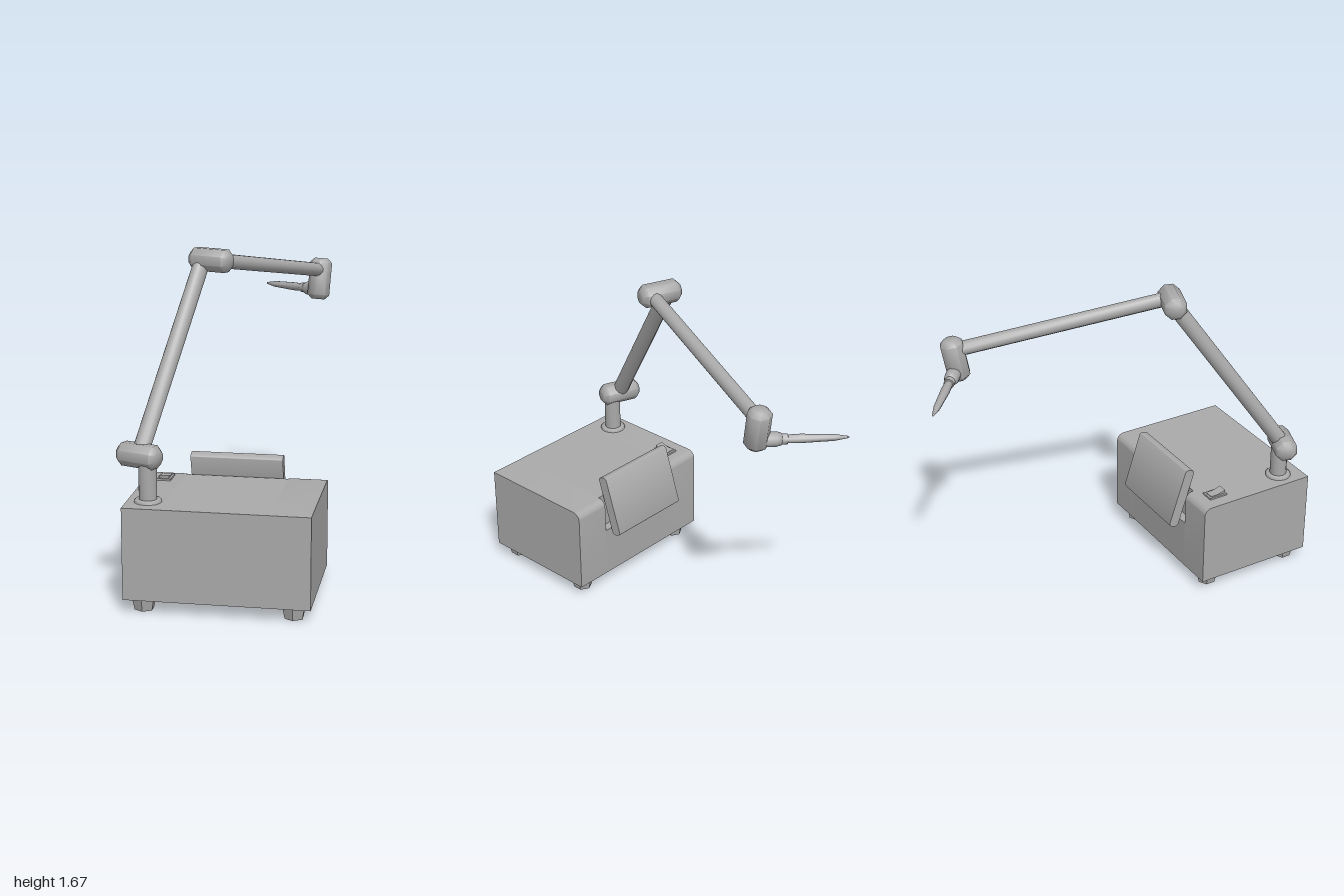
import * as THREE from 'three';
import { toCreasedNormals } from 'three/addons/utils/BufferGeometryUtils.js';

const V = (x, y, z) => new THREE.Vector3(x, y, z);
const UP = V(0, 1, 0);

export function createModel() {
  const root = new THREE.Group();
  const grey = new THREE.MeshStandardMaterial({ color: 0xaaaaaa });

  const add = (name, geometry) => {
    const mesh = new THREE.Mesh(toCreasedNormals(geometry, 1), grey);
    mesh.name = name;
    root.add(mesh);
    return mesh;
  };

  // Solid of revolution: profile of [radius, distance] starting at a point, along a direction
  const turned = (name, profile, sides, origin, direction) => {
    const points = profile.map(([r, d]) => new THREE.Vector2(r, d));
    const mesh = add(name, new THREE.LatheGeometry(points, sides));
    mesh.position.copy(origin);
    mesh.quaternion.setFromUnitVectors(UP, direction.clone().normalize());
    return mesh;
  };

  // Side outline in (z, y), extruded between two x positions
  const slab = (name, shape, x0, x1) => {
    const g = new THREE.ExtrudeGeometry(shape, { depth: x1 - x0, bevelEnabled: false, curveSegments: 6 });
    g.rotateY(-Math.PI / 2);
    g.translate(x1, 0, 0);
    return add(name, g);
  };

  // Housing: rounded rear top edge, with a pocket behind the screen
  const bottom = 0.066, top = 0.525, back = 0.337, r = 0.042;
  const full = new THREE.Shape();
  full.moveTo(back, bottom);
  full.lineTo(1, bottom);
  full.lineTo(1, top);
  full.lineTo(back + r, top);
  full.absarc(back + r, top - r, r, Math.PI / 2, Math.PI, false);
  full.closePath();
  const pocket = new THREE.Shape([
    [back, bottom], [1, bottom], [1, top], [0.385, top], [0.385, 0.336], [back, 0.336],
  ].map(([z, y]) => new THREE.Vector2(z, y)));
  slab('housingRight', full, -0.426, -0.237);
  slab('housingMiddle', pocket, -0.237, 0.286);
  slab('housingLeft', full, 0.286, 0.481);

  // Tapered hexagonal feet
  for (const x of [-0.337, 0.393]) {
    for (const z of [0.42, 0.922]) {
      const foot = add('foot', new THREE.CylinderGeometry(0.063, 0.049, 0.068, 6));
      foot.position.set(x, 0.034, z);
    }
  }

  // Tilted screen panel with rounded edges
  const w = 0.028, h = 0.168, c = 0.018;
  const panel = new THREE.Shape();
  panel.absarc(w - c, h - c, c, 0, Math.PI / 2);
  panel.absarc(-w + c, h - c, c, Math.PI / 2, Math.PI);
  panel.absarc(-w + c, -h + c, c, Math.PI, Math.PI * 1.5);
  panel.absarc(w - c, -h + c, c, Math.PI * 1.5, Math.PI * 2);
  panel.closePath();
  const screen = slab('screen', panel, -0.21, 0.26);
  screen.position.set(0, 0.478, 0.331);
  screen.rotation.x = 0.305;

  // Power switch: base plate and rocker
  const plate = add('switchPlate', new THREE.BoxGeometry(0.07, 0.009, 0.106));
  plate.position.set(-0.324, top + 0.0045, 0.466);
  const rocker = new THREE.Shape([
    [0.425, 0.53], [0.508, 0.53], [0.512, 0.552], [0.468, 0.539], [0.425, 0.538],
  ].map(([z, y]) => new THREE.Vector2(z, y)));
  slab('switchRocker', rocker, -0.349, -0.299);

  // Arm layout: lower, middle and wrist joints
  const axis = V(0.94, 0, 0.342);
  const joint1 = V(-0.366, 0.747, 0.857);
  const joint2 = V(-0.118, 1.609, 0.302);
  const joint3 = V(0.301, 1.364, -0.713);

  // Post and its flange
  const post = joint1.clone().addScaledVector(axis, 0.046);
  turned('postFlange', [[0, 0], [0.068, 0], [0.068, 0.008], [0.06, 0.015], [0, 0.015]], 16,
    V(post.x, top, post.z), UP);
  turned('post', [[0, 0], [0.045, 0], [0.045, 0.222], [0, 0.222]], 12, V(post.x, top, post.z), UP);

  // Chamfered joint barrel centred on a point
  const barrel = (name, centre, direction, length) => {
    const l = length / 2, b = 0.024, R = 0.061;
    turned(name, [[0, -l], [R - b, -l], [R, -l + b], [R, l - b], [R - b, l], [0, l]], 8, centre, direction);
  };
  const rod = (name, from, to, radius) => {
    const d = to.clone().sub(from), n = d.length();
    turned(name, [[0, 0], [radius, 0], [radius, n], [0, n]], 12, from, d);
    return d.normalize();
  };

  barrel('lowerJoint', joint1, axis, 0.222);
  barrel('middleJoint', joint2, axis, 0.222);
  rod('lowerArm', joint1, joint2.clone().addScaledVector(axis, -0.048), 0.042);
  const reach = rod('upperArm', joint2.clone().addScaledVector(axis, 0.046), V(0.305, 1.412, -0.72), 0.037);

  // Wrist stands square to the upper arm
  const wristAxis = UP.clone().addScaledVector(reach, -reach.y).normalize();
  barrel('wristJoint', joint3, wristAxis, 0.226);

  // Stepped tool tapering to a point
  const start = V(0.297, 1.303, -0.715);
  const tip = V(-0.04, 1.284, -1);
  turned('tool', [
    [0, 0], [0.038, 0], [0.038, 0.085], [0.031, 0.108], [0.027, 0.11], [0.027, 0.138],
    [0.021, 0.14], [0.023, 0.2], [0.017, 0.365], [0.005, 0.436], [0, 0.441],
  ], 10, start, tip.sub(start));

  return root;
}
